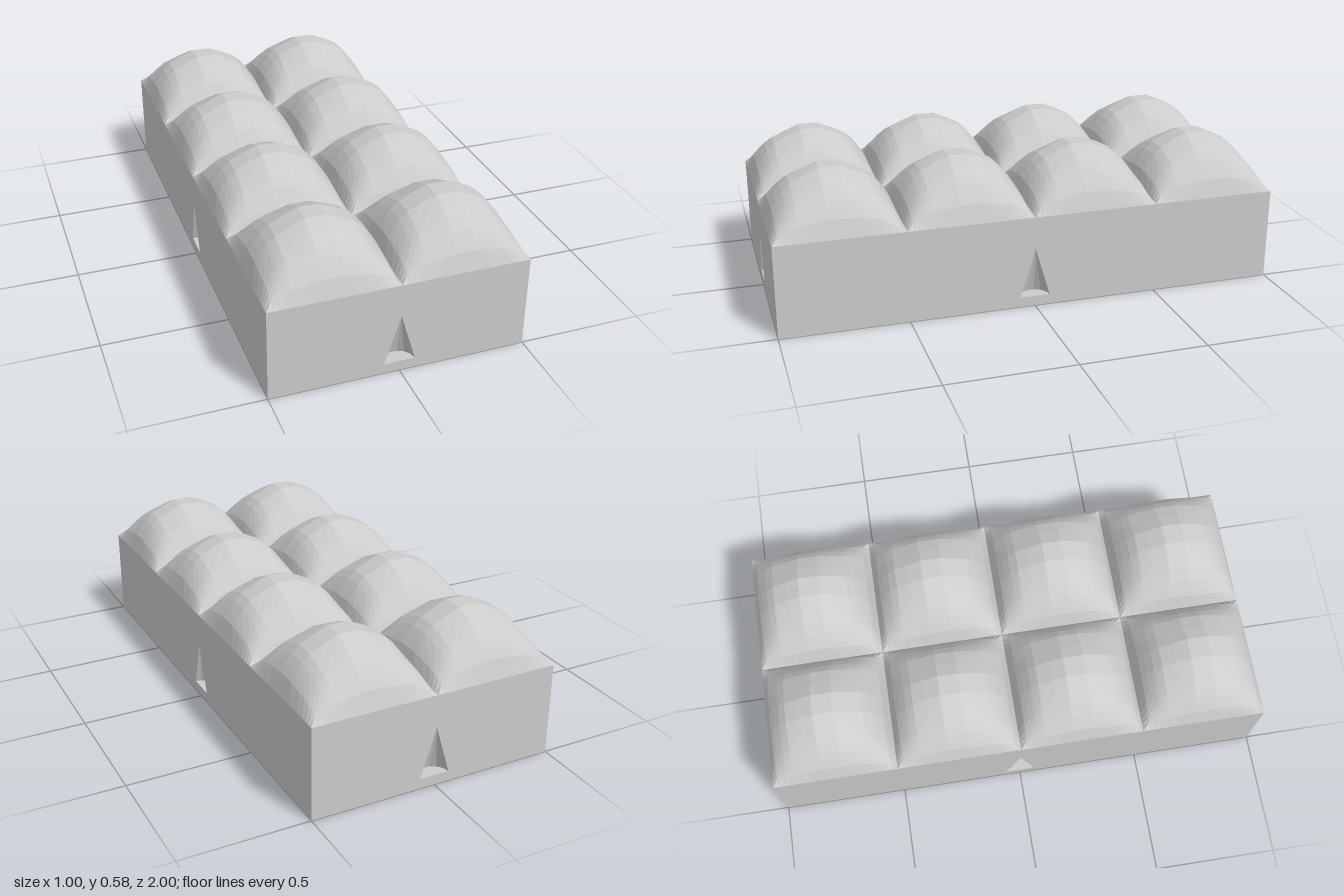
import * as THREE from 'three';

const BASE = 0.37, CELL = 0.5, RISE = 0.21;
const material = new THREE.MeshStandardMaterial({ color: 0xcccccc, flatShading: true, side: THREE.DoubleSide });

function addMesh(parent, name, geometry) {
  const mesh = new THREE.Mesh(geometry, material);
  mesh.name = name;
  parent.add(mesh);
  return mesh;
}

// Pillow: the same arch profile swept along both axes, pinched at the corners
function pillowGeometry() {
  const half = [[0, 0], [0.025, 0.07], [0.045, 0.1], [0.07, 0.132], [0.1, 0.16], [0.155, 0.187], [0.21, RISE]];
  const arch = [...half, ...half.slice().reverse().map(([u, h]) => [CELL - u, h])];
  const n = arch.length, pos = [], index = [];
  for (const [z, hz] of arch)
    for (const [x, hx] of arch) pos.push(x - CELL / 2, BASE + hx * hz / RISE, z - CELL / 2);
  for (let j = 0; j < n - 1; j++) {
    for (let i = 0; i < n - 1; i++) {
      const a = j * n + i, b = a + 1, d = a + n, c = d + 1;
      // diagonals run from the corners towards the middle
      const sameHalf = (i < n / 2 - 0.5) === (j < n / 2 - 0.5);
      if (sameHalf) index.push(a, d, c, a, c, b);
      else index.push(a, d, b, b, d, c);
    }
  }
  const g = new THREE.BufferGeometry();
  g.setAttribute('position', new THREE.Float32BufferAttribute(pos, 3));
  g.setIndex(index);
  g.computeVertexNormals();
  return g;
}

// Side wall with a half-cone recess cut into its middle
function makeWall(name, width, distance, angle) {
  const wall = new THREE.Group();
  wall.name = name;
  const w = width / 2, r = 0.06, y0 = 0.04, y1 = 0.24;
  const shape = new THREE.Shape([[-w, 0], [w, 0], [w, BASE], [-w, BASE]].map(p => new THREE.Vector2(...p)));
  shape.holes.push(new THREE.Path([[-r, y0], [0, y1], [r, y0]].map(p => new THREE.Vector2(...p))));
  addMesh(wall, 'wallPanel', new THREE.ShapeGeometry(shape)).position.z = distance;

  const cone = new THREE.ConeGeometry(r, y1 - y0, 7, 1, true, Math.PI / 2, Math.PI);
  addMesh(wall, 'recess', cone).position.set(0, (y0 + y1) / 2, distance);
  const floor = new THREE.CircleGeometry(r, 7, 0, Math.PI).rotateX(-Math.PI / 2);
  addMesh(wall, 'recessFloor', floor).position.set(0, y0, distance);
  wall.rotation.y = angle;
  return wall;
}

export function createModel() {
  const model = new THREE.Group();
  model.name = 'pillowBlock';

  // Block body
  model.add(
    makeWall('frontWall', 1, 1, 0),
    makeWall('backWall', 1, 1, Math.PI),
    makeWall('leftWall', 2, 0.5, Math.PI / 2),
    makeWall('rightWall', 2, 0.5, -Math.PI / 2)
  );
  addMesh(model, 'bottom', new THREE.PlaneGeometry(1, 2).rotateX(Math.PI / 2));

  // Two by four pillows on top
  const pillow = pillowGeometry();
  for (let row = 0; row < 4; row++)
    for (let col = 0; col < 2; col++)
      addMesh(model, 'pillow', pillow).position.set((col - 0.5) * CELL, 0, (row - 1.5) * CELL);

  return model;
}
